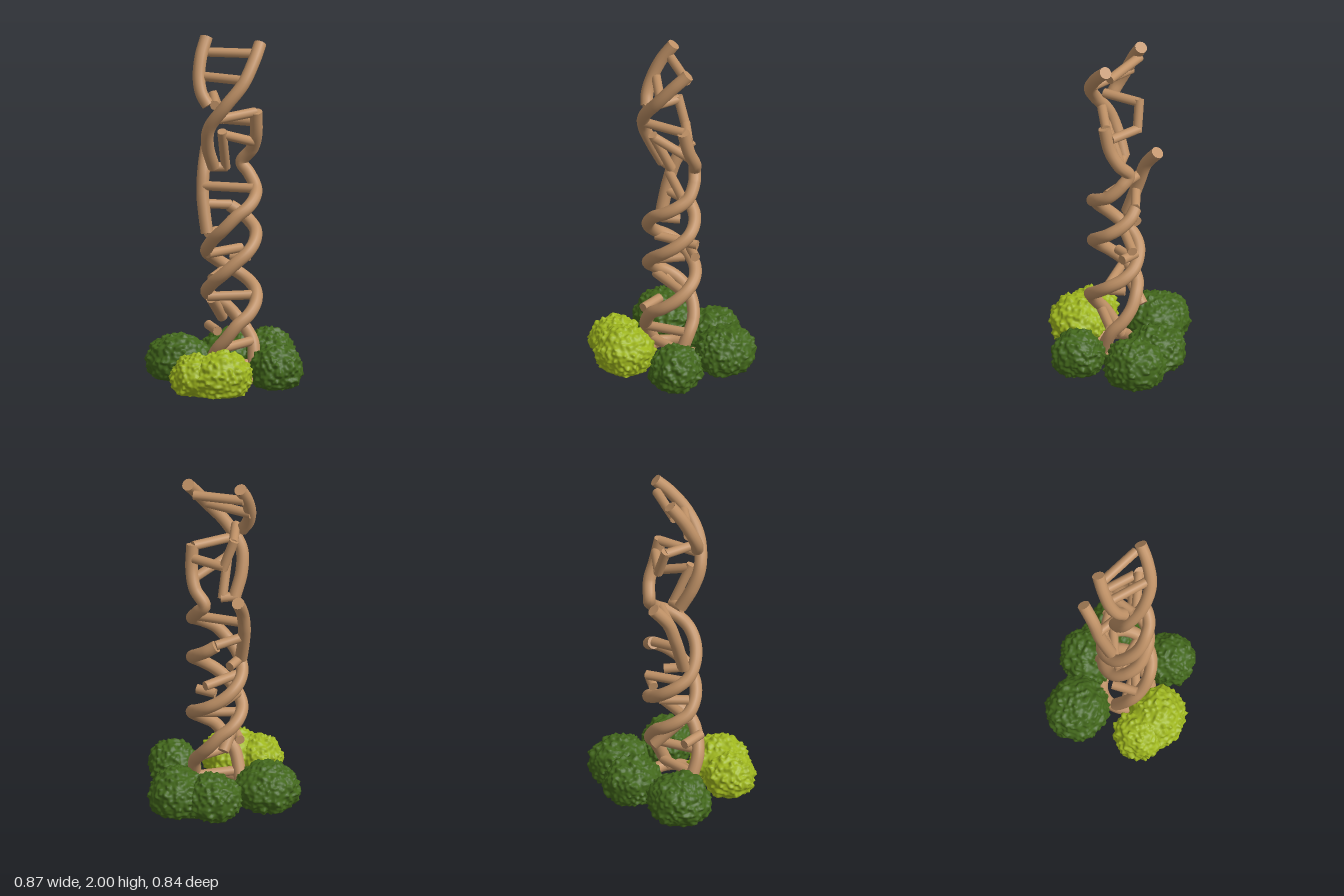
import * as THREE from 'three';
import { mergeVertices, mergeGeometries } from 'three/addons/utils/BufferGeometryUtils.js';

const material = (name, color) => {
  const m = new THREE.MeshStandardMaterial({ color });
  m.name = name;
  return m;
};

// Round tube along points, closed with flat end caps
function cappedTube(points, radius, segments) {
  const curve = new THREE.CatmullRomCurve3(points, false, 'centripetal');
  const parts = [new THREE.TubeGeometry(curve, segments, radius, 14)];
  for (const t of [0, 1]) {
    const cap = new THREE.CircleGeometry(radius, 14);
    const outward = curve.getTangent(t).multiplyScalar(t ? 1 : -1);
    cap.applyQuaternion(new THREE.Quaternion().setFromUnitVectors(new THREE.Vector3(0, 0, 1), outward));
    const p = curve.getPoint(t);
    parts.push(cap.translate(p.x, p.y, p.z));
  }
  return mergeGeometries(parts);
}

const toVectors = list => list.map(p => new THREE.Vector3(...p));

// Knots are [angle in degrees, height, radius] around the tower axis
function winding(knots) {
  const points = [];
  for (let i = 0; i < knots.length - 1; i++) {
    const steps = Math.max(1, Math.round(Math.abs(knots[i + 1][0] - knots[i][0]) / 30));
    for (let s = 0; s < steps + (i === knots.length - 2 ? 1 : 0); s++) {
      const [a, y, r] = knots[i].map((v, k) => THREE.MathUtils.lerp(v, knots[i + 1][k], s / steps));
      const angle = THREE.MathUtils.degToRad(a);
      points.push(new THREE.Vector3(0.016 + r * Math.cos(angle), y, r * Math.sin(angle)));
    }
  }
  return points;
}

// Smooth repeatable value noise in 0..1
function hash(x, y, z) {
  const s = Math.sin(x * 127.1 + y * 311.7 + z * 74.7) * 43758.5453;
  return s - Math.floor(s);
}
function noise(x, y, z) {
  const cell = [x, y, z].map(Math.floor);
  const f = [x, y, z].map((v, i) => { const t = v - cell[i]; return t * t * (3 - 2 * t); });
  let sum = 0;
  for (let c = 0; c < 8; c++) {
    const o = [c & 1, (c >> 1) & 1, c >> 2];
    const weight = o.reduce((w, bit, i) => w * (bit ? f[i] : 1 - f[i]), 1);
    sum += weight * hash(cell[0] + o[0], cell[1] + o[1], cell[2] + o[2]);
  }
  return sum;
}

// Knobbly dome of leaves with a flat underside
function bushGeometry(x, z, rx, rz, height) {
  let geo = new THREE.IcosahedronGeometry(1, 27);
  geo.deleteAttribute('normal');
  geo.deleteAttribute('uv');
  geo = mergeVertices(geo, 1e-4);
  const pos = geo.attributes.position;
  const v = new THREE.Vector3();
  const middle = 0.092;
  for (let i = 0; i < pos.count; i++) {
    v.fromBufferAttribute(pos, i);
    const n = v.clone();
    v.set(x + v.x * rx, middle + v.y * (height - middle), z + v.z * rz);
    const leaf = noise(v.x * 52 + 50, v.y * 52 + 50, v.z * 52 + 50);
    const lump = noise(v.x * 14 + 90, v.y * 14 + 90, v.z * 14 + 90);
    v.addScaledVector(n, leaf * leaf * 0.026 + lump * 0.02 - 0.017);
    pos.setXYZ(i, v.x, Math.max(0.004, v.y), v.z);
  }
  geo.computeVertexNormals();
  return geo;
}

export function createModel() {
  const model = new THREE.Group();
  model.name = 'twistedTower';
  const wood = material('wood', 0xbf9166);
  const darkLeaf = material('darkLeaf', 0x42671b);
  const limeLeaf = material('limeLeaf', 0x9fb71e);
  const add = (name, geometry, mat) => {
    const mesh = new THREE.Mesh(geometry, mat);
    mesh.name = name;
    model.add(mesh);
    return mesh;
  };

  // Rails: a double winding below, broken rails above
  const rails = {
    frontRail: winding([[12, 1.57, 0.14], [-2, 1.43, 0.146], [-23, 1.33, 0.145], [-50, 1.245, 0.13],
      [-30, 1.19, 0.135], [0, 1.12, 0.142], [90, 0.99, 0.128], [180, 0.78, 0.14], [270, 0.64, 0.128],
      [360, 0.52, 0.142], [450, 0.36, 0.146], [500, 0.2, 0.145], [540, 0.04, 0.135]]),
    backRail: winding([[280, 0.99, 0.122],
      [360, 0.87, 0.142], [450, 0.72, 0.125], [540, 0.54, 0.14], [630, 0.41, 0.118],
      [715, 0.21, 0.13], [750, 0.04, 0.13]]),
    leaningRail: toVectors([[-0.075, 1.31, -0.218], [-0.11, 1.2, -0.14], [-0.125, 1.08, -0.1],
      [-0.123, 0.97, -0.065], [-0.115, 0.86, -0.03]]),
    upperFrontRail: toVectors([[0.18, 1.96, 0.015], [0.13, 1.88, 0.08], [0.05, 1.76, 0.14],
      [-0.05, 1.64, 0.14], [-0.13, 1.5, 0.08], [-0.125, 1.38, 0.03], [-0.08, 1.25, -0.02]]),
    upperBackRail: toVectors([[-0.1, 1.98, -0.115], [-0.145, 1.88, -0.06], [-0.167, 1.77, -0.01],
      [-0.16, 1.69, 0.03], [-0.13, 1.63, 0.06]]),
  };
  for (const [name, points] of Object.entries(rails)) {
    add(name, cappedTube(points, 0.036, points.length * 7), wood);
  }

  // Rungs, including the loose and broken ones
  const rungs = [
    [[-0.12, 1.9, -0.1], [0.15, 1.9, 0.0]],
    [[-0.17, 1.78, -0.04], [0.06, 1.78, 0.12]],
    [[-0.1, 1.64, 0.1], [-0.06, 1.638, -0.115]],
    [[-0.065, 1.655, -0.115], [0.0, 1.48, -0.12]],
    [[-0.01, 1.495, -0.125], [0.15, 1.5, -0.01]],
    [[-0.11, 1.56, 0.12], [0.15, 1.565, 0.02]],
    [[-0.05, 1.46, 0.07], [0.15, 1.38, -0.02]],
    [[-0.055, 1.48, 0.08], [-0.01, 1.24, -0.02]],
    [[-0.1, 1.25, -0.02], [0.0, 1.245, -0.02]],
    [[-0.12, 1.12, -0.1], [0.14, 1.12, 0.02]],
    [[-0.12, 1.02, -0.08], [0.04, 0.995, -0.12]],
    [[-0.11, 0.86, -0.03], [-0.04, 0.85, -0.11]],
    [[-0.12, 0.75, 0.0], [0.1, 0.74, -0.12]],
    [[0.04, 0.69, -0.12], [0.14, 0.7, -0.07]],
    [[-0.1, 0.61, 0.02], [0.0, 0.62, -0.11]],
    [[-0.12, 0.5, 0.0], [0.15, 0.5, 0.02]],
    [[-0.09, 0.33, 0.12], [-0.11, 0.33, -0.02]],
    [[-0.09, 0.22, 0.12], [0.13, 0.225, 0.0]],
    [[-0.1, 0.1, 0.05], [0.12, 0.1, 0.02]],
  ];
  rungs.forEach((ends, i) => add(`rung${i + 1}`, cappedTube(toVectors(ends), 0.027, 2), wood));
  add('brokenStub', cappedTube(toVectors([[-0.09, 0.48, -0.03], [0, 0.335, -0.15]]), 0.032, 4), wood);

  // Ring the rails stand on
  const ring = add('baseRing', new THREE.TorusGeometry(0.135, 0.034, 14, 40), wood);
  ring.rotation.x = Math.PI / 2;
  ring.position.set(0.01, 0.035, 0.005);

  // Bushes around the base: x, z, half width, half depth, height
  const bushes = [
    ['backRightBush', darkLeaf, -0.245, -0.175, 0.18, 0.172, 0.238],
    ['backBush', darkLeaf, 0.07, -0.25, 0.16, 0.165, 0.228],
    ['backLeftBush', darkLeaf, 0.265, -0.18, 0.163, 0.175, 0.238],
    ['frontLeftBush', darkLeaf, 0.24, 0.155, 0.14, 0.152, 0.238],
    ['limeBush', limeLeaf, -0.235, 0.205, 0.138, 0.14, 0.225],
    ['limeFrontBush', limeLeaf, -0.105, 0.25, 0.18, 0.16, 0.238],
  ];
  for (const [name, mat, ...size] of bushes) add(name, bushGeometry(...size), mat);

  return model;
}
